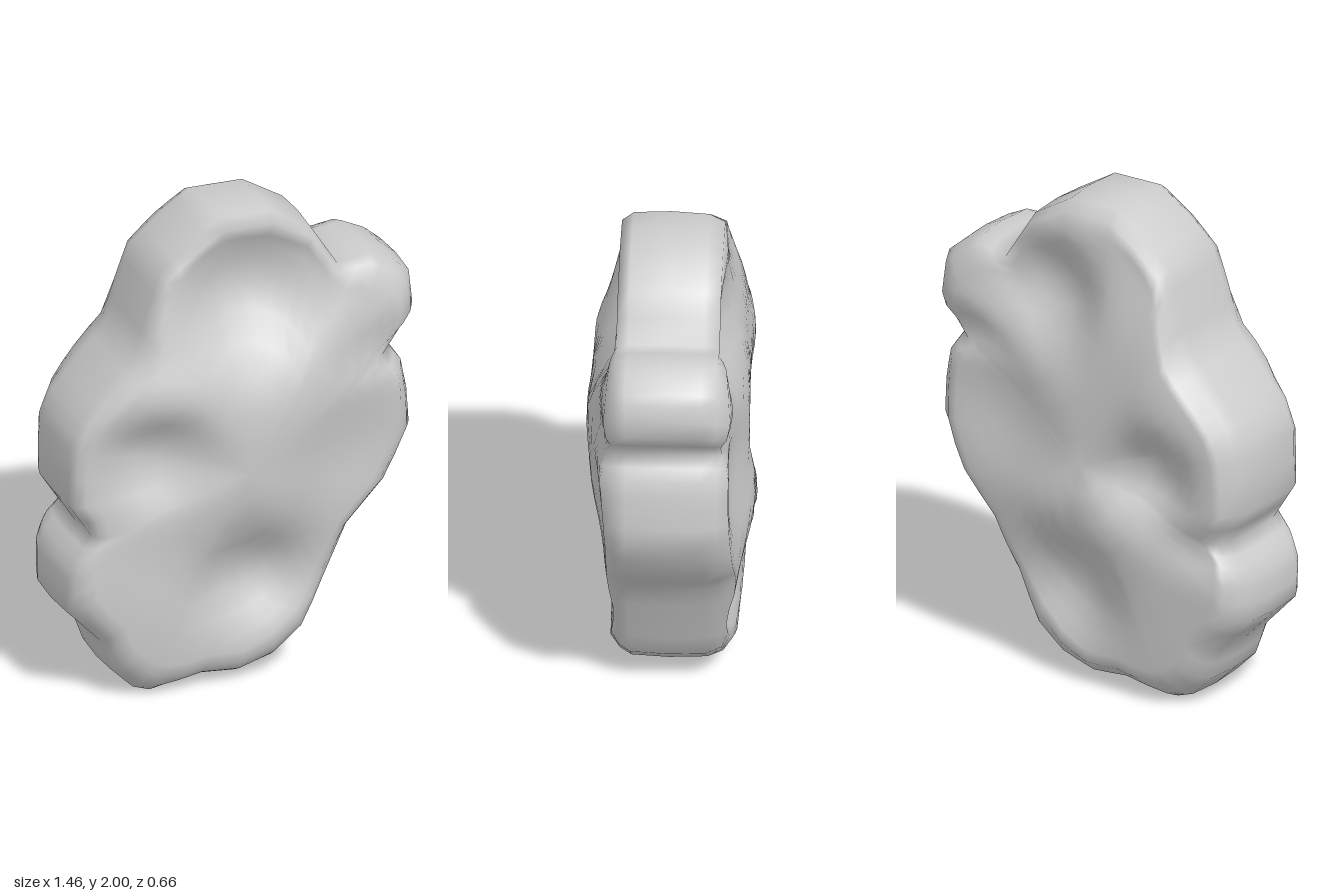
import * as THREE from 'three';

// Silhouette of the slab, counter-clockwise from its left side
const OUTLINE = [
  [0.71, 0.97], [0.70, 1.12], [0.675, 1.25], [0.61, 1.34], [0.725, 1.49], [0.71, 1.63], [0.64, 1.69],
  [0.55, 1.735], [0.41, 1.715], [0.30, 1.89], [0.13, 1.995], [-0.09, 2.0], [-0.22, 1.91],
  [-0.335, 1.81], [-0.39, 1.65], [-0.44, 1.49], [-0.56, 1.36], [-0.67, 1.23], [-0.72, 1.11],
  [-0.72, 0.87], [-0.625, 0.72], [-0.70, 0.63], [-0.73, 0.55], [-0.73, 0.41], [-0.59, 0.26],
  [-0.54, 0.12], [-0.45, 0.03], [-0.38, 0.005], [-0.18, 0.04], [-0.02, 0.025], [0.13, 0.065],
  [0.25, 0.16], [0.34, 0.37], [0.44, 0.59], [0.60, 0.76],
];
const CENTRE = [-0.02, 0.95];

// Bumps (positive) and hollows (negative): x, y, radius x, radius y, height
const FRONT = [
  [0.05, 1.15, 0.5, 0.36, 0.08], [0.04, 1.66, 0.26, 0.23, -0.14],
  [-0.38, 1.04, 0.19, 0.18, -0.09], [0.04, 0.45, 0.22, 0.17, -0.11],
  [0.42, 0.98, 0.2, 0.22, -0.04], [-0.1, 0.8, 0.32, 0.16, 0.03],
  [-0.36, 1.3, 0.16, 0.12, 0.03], [-0.38, 0.4, 0.17, 0.22, 0.015],
  [-0.74, 1.0, 0.2, 0.4, -0.035], [0.58, 1.36, 0.2, 0.08, -0.04],
];
const BACK = [
  [-0.1, 0.95, 0.6, 0.6, 0.04], [0.18, 1.6, 0.22, 0.2, -0.13],
  [-0.32, 0.95, 0.18, 0.17, -0.11], [0.07, 0.4, 0.21, 0.19, -0.11],
  [0.38, 1.1, 0.23, 0.23, -0.05], [-0.4, 1.27, 0.16, 0.2, 0.02],
  [0.0, 0.74, 0.28, 0.13, 0.03], [-0.22, 1.8, 0.18, 0.18, -0.03],
  [-0.55, 0.7, 0.17, 0.09, -0.04], [0.58, 1.36, 0.2, 0.08, -0.04],
];

function relief(x, y, s, base, bumps) {
  // The face falls away towards its rim and towards the top
  let z = base - 0.025 * s ** 8 - 0.035 * Math.max(0, (y - 1.5) / 0.5);
  for (const [bx, by, rx, ry, h] of bumps) {
    const d = ((x - bx) / rx) ** 2 + ((y - by) / ry) ** 2;
    z += h * Math.exp(-(d ** 1.2));
  }
  return z;
}

// Silhouette split once per edge; trim pulls lobes in so notches soften on the faces
function makeRing() {
  const points = [];
  OUTLINE.forEach((p, i) => {
    const q = OUTLINE[(i + 1) % OUTLINE.length];
    points.push(p, [(p[0] + q[0]) / 2, (p[1] + q[1]) / 2]);
  });
  const arms = points.map(([x, y]) => [x - CENTRE[0], y - CENTRE[1]]);
  const radii = arms.map(([x, y]) => Math.hypot(x, y));
  return arms.map(([dx, dy], i) => {
    let mean = 0;
    for (let k = -4; k <= 4; k++) mean += radii[(i + k + radii.length) % radii.length] / 9;
    return { dx, dy, trim: Math.min(1, mean / radii[i]) };
  });
}

function stoneGeometry() {
  const ring = makeRing();
  const n = ring.length;
  const positions = [];
  const index = [];

  // Rows run from the front centre, over the wall, to the back centre:
  // scale, face or depth, share of the trim
  const scales = [0.12, 0.25, 0.38, 0.5, 0.61, 0.71, 0.8, 0.87, 0.92];
  const rows = [
    ...scales.map((s) => [s, 'front', 0.5]),
    [0.966, 0.19, 0.2], [0.992, 0.145, 0], [1, 0, 0], [0.992, -0.15, 0], [0.97, -0.21, 0.2],
    ...scales.slice().reverse().map((s) => [s, 'back', 0.5]),
  ];
  const depth = (x, y, s, kind) => {
    if (kind === 'front') return relief(x, y, s, 0.24, FRONT);
    if (kind === 'back') return -relief(x, y, s, 0.272, BACK);
    return kind;
  };
  for (const [s, kind, share] of rows) {
    for (const { dx, dy, trim } of ring) {
      const k = s * (1 - share * (1 - trim));
      const x = CENTRE[0] + dx * k;
      const y = CENTRE[1] + dy * k;
      positions.push(x, y, depth(x, y, s, kind));
    }
  }
  for (let r = 0; r < rows.length - 1; r++) {
    for (let i = 0; i < n; i++) {
      const j = (i + 1) % n;
      const a = r * n + i, b = r * n + j, c = a + n, d = b + n;
      index.push(a, c, d, a, d, b);
    }
  }
  // Centre points close both faces
  const front = positions.length / 3;
  const last = (rows.length - 1) * n;
  positions.push(...CENTRE, depth(...CENTRE, 0, 'front'), ...CENTRE, depth(...CENTRE, 0, 'back'));
  for (let i = 0; i < n; i++) {
    const j = (i + 1) % n;
    index.push(front, i, j, front + 1, last + j, last + i);
  }

  const geometry = new THREE.BufferGeometry();
  geometry.setAttribute('position', new THREE.Float32BufferAttribute(positions, 3));
  geometry.setIndex(index);
  geometry.computeVertexNormals();
  return geometry;
}

export function createModel() {
  const group = new THREE.Group();
  group.name = 'rock';
  const stone = new THREE.Mesh(stoneGeometry(), new THREE.MeshStandardMaterial({ color: 0xcccccc }));
  stone.name = 'stoneSlab';
  group.add(stone);
  return group;
}
